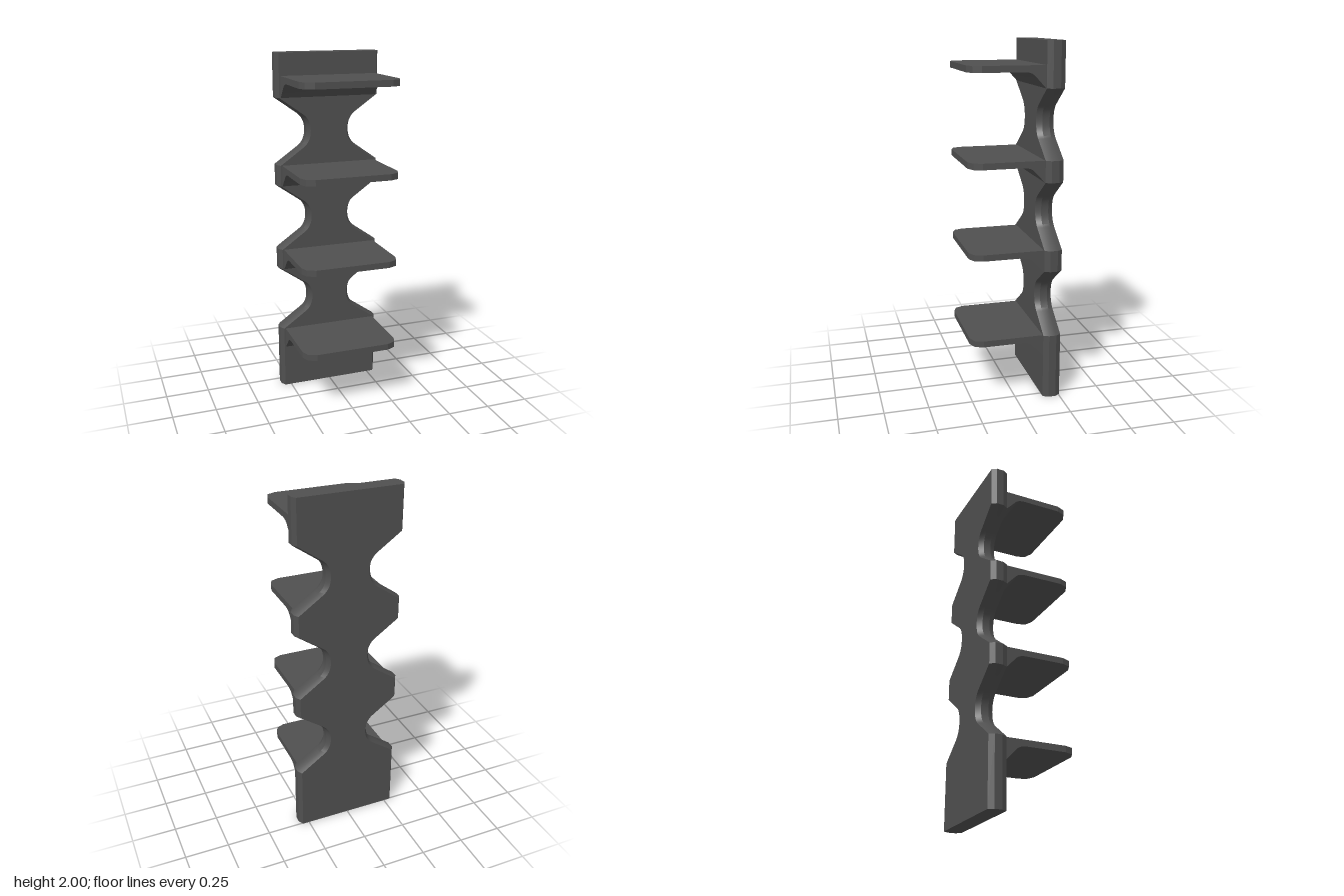
import * as THREE from 'three';
import { toCreasedNormals } from 'three/addons/utils/BufferGeometryUtils.js';

const BACK = -0.255, FACE = -0.155, FRONT = 0.255;
const WIDE = 0.305, WAIST = 0.125, CHAMFER = 0.017, PITCH = 0.5;

// Half-width of the back board against height, with three rounded notches
function boardOutline() {
  const lower = new THREE.QuadraticBezierCurve(
    new THREE.Vector2(0.17, -0.095), new THREE.Vector2(WAIST, -0.063), new THREE.Vector2(WAIST, 0)
  ).getPoints(8);
  const half = [new THREE.Vector2(WIDE, -0.19), ...lower];
  const notch = [...half, ...half.slice(0, -1).reverse().map((p) => new THREE.Vector2(p.x, -p.y))];
  const rows = [new THREE.Vector2(WIDE, 0)];
  for (let k = 0; k < 3; k++) {
    for (const p of notch) rows.push(new THREE.Vector2(p.x, p.y + 0.565 + k * PITCH));
  }
  rows.push(new THREE.Vector2(WIDE, 2));
  return rows;
}

// Board lofted from chamfered cross-sections stacked in y
function boardGeometry() {
  const rows = boardOutline();
  const positions = [], index = [];
  for (const { x: w, y } of rows) {
    const side = [[w - CHAMFER, FACE], [w, FACE - 0.03], [w, BACK + 0.028], [w - CHAMFER, BACK]];
    const ring = [...side, ...side.slice().reverse().map(([x, z]) => [-x, z])];
    for (const [x, z] of ring) positions.push(x, y, z);
  }
  const n = 8, last = (rows.length - 1) * n;
  for (let i = 0; i < last; i += n) {
    for (let j = 0; j < n; j++) {
      const a = i + j, b = i + (j + 1) % n;
      index.push(a, b, b + n, a, b + n, a + n);
    }
  }
  for (let j = 1; j < n - 1; j++) {
    index.push(0, j + 1, j, last, last + j, last + j + 1);
  }
  const geometry = new THREE.BufferGeometry();
  geometry.setAttribute('position', new THREE.Float32BufferAttribute(positions, 3));
  geometry.setIndex(index);
  return toCreasedNormals(geometry, 0.4);
}

// Shelf plate with clipped front corners, top at y = 0
function plateGeometry() {
  const side = [[0.28, FACE], [0.28, 0.187], [0.262, 0.234], [0.215, FRONT]];
  const outline = [...side, ...side.slice().reverse().map(([x, z]) => [-x, z])];
  const shape = new THREE.Shape(outline.map(([x, z]) => new THREE.Vector2(x, z)));
  return new THREE.ExtrudeGeometry(shape, { depth: 0.035, bevelEnabled: false }).rotateX(Math.PI / 2);
}

// Curved support under the shelf, profile drawn in z and y, extruded across x
function supportGeometry() {
  const shape = new THREE.Shape();
  shape.moveTo(-FACE, -0.035);
  shape.lineTo(-FACE, -0.12);
  shape.lineTo(0.095, -0.055);
  shape.quadraticCurveTo(0.075, -0.035, 0.035, -0.035);
  shape.closePath();
  const geometry = new THREE.ExtrudeGeometry(shape, { depth: 0.56, bevelEnabled: false, curveSegments: 8 });
  geometry.translate(0, 0, -0.28).rotateY(Math.PI / 2);
  return toCreasedNormals(geometry, 0.4);
}

export function createModel() {
  const model = new THREE.Group();
  model.name = 'wallShelf';
  const material = new THREE.MeshStandardMaterial({ color: 0x505050 });

  const add = (parent, name, geometry) => {
    const mesh = new THREE.Mesh(geometry, material);
    mesh.name = name;
    parent.add(mesh);
  };

  add(model, 'backBoard', boardGeometry());

  // Four identical shelves
  const plate = plateGeometry(), support = supportGeometry();
  for (let k = 0; k < 4; k++) {
    const shelf = new THREE.Group();
    shelf.name = `shelf${k + 1}`;
    shelf.position.y = 0.375 + k * PITCH;
    add(shelf, 'shelfPlate', plate);
    add(shelf, 'shelfSupport', support);
    model.add(shelf);
  }
  return model;
}
